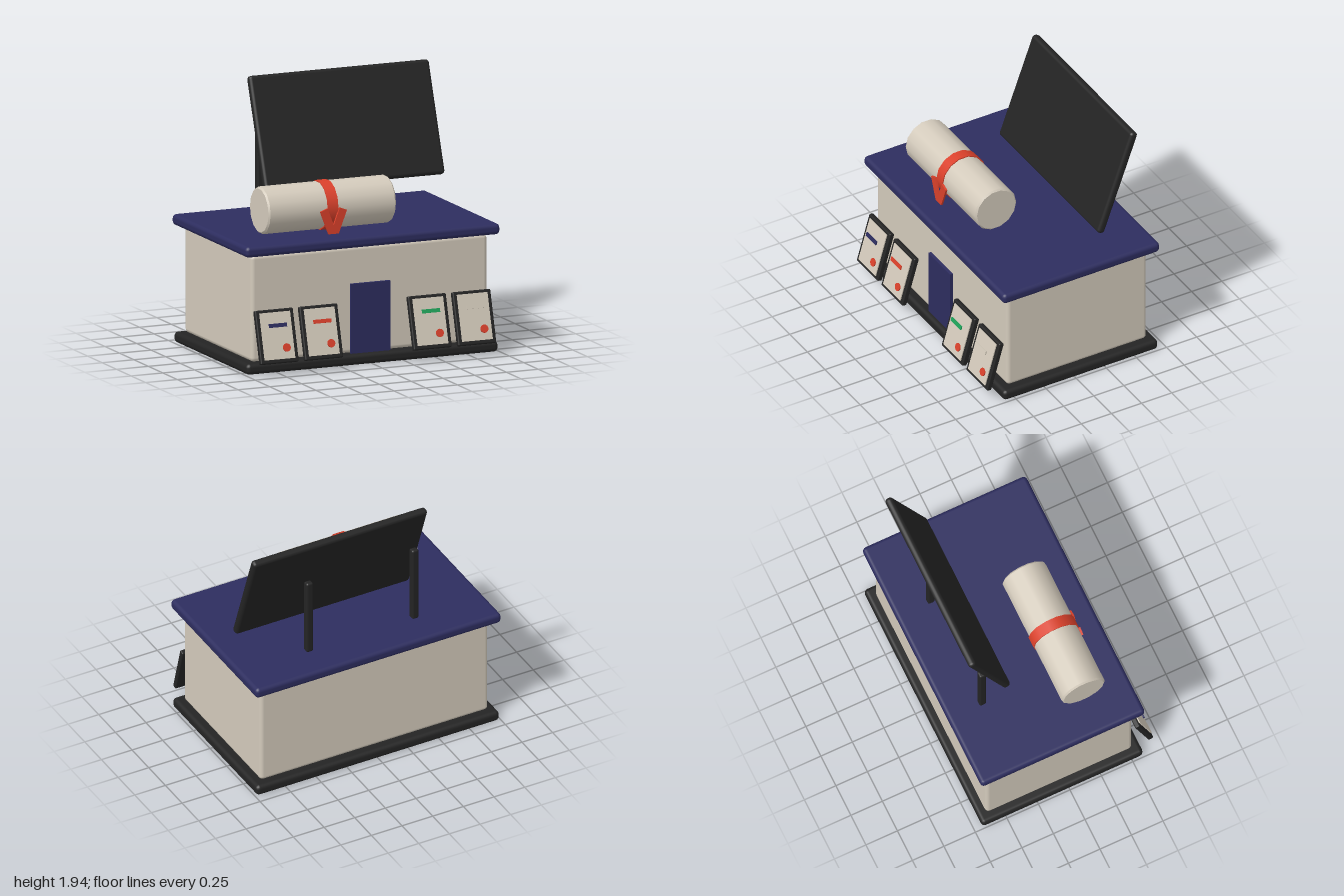
import * as THREE from 'three';
import { RoundedBoxGeometry } from 'three/addons/geometries/RoundedBoxGeometry.js';

const paint = (name, color) => {
  const m = new THREE.MeshStandardMaterial({ color });
  m.name = name;
  return m;
};

export function createModel() {
  const navy = paint('navy', 0x2d2d5f);
  const cream = paint('cream', 0xd4cbbc);
  const black = paint('black', 0x242424);
  const red = paint('red', 0xdb412b);
  const green = paint('green', 0x1fa35a);

  const model = new THREE.Group();
  model.name = 'kiosk';

  const add = (parent, name, geometry, material, x, y, z) => {
    const mesh = new THREE.Mesh(geometry, material);
    mesh.name = name;
    mesh.position.set(x, y, z);
    parent.add(mesh);
    return mesh;
  };
  const rounded = (w, h, d, r) => new RoundedBoxGeometry(w, h, d, 2, r);
  const box = (w, h, d) => new THREE.BoxGeometry(w, h, d);

  // Building
  add(model, 'base', rounded(1.98, 0.08, 1.28, 0.03), black, 0, 0.04, -0.05);
  add(model, 'body', rounded(1.86, 0.78, 1.16, 0.03), cream, 0, 0.47, -0.05);
  add(model, 'roof', rounded(2, 0.08, 1.3, 0.03), navy, 0, 0.9, -0.05);
  add(model, 'door', box(0.31, 0.51, 0.025), navy, 0, 0.335, 0.54);

  // Tilted board on two posts
  const board = add(model, 'board', rounded(1.42, 0.835, 0.06, 0.025), black, 0.23, 1.54, -0.385);
  board.rotation.x = THREE.MathUtils.degToRad(-20);
  for (const x of [-0.43, 0.43]) {
    add(model, 'boardPost', rounded(0.055, 0.6, 0.055, 0.015), black, x, 1.235, -0.428);
  }

  // Rolled scroll lying along x, with bevelled rims
  const scroll = new THREE.Group();
  scroll.name = 'scroll';
  scroll.position.set(-0.233, 1.12, 0.236);
  model.add(scroll);
  const profile = [
    [0, -0.502], [0.16, -0.502], [0.16, -0.502], [0.172, -0.49], [0.172, -0.49],
    [0.172, 0.49], [0.172, 0.49], [0.16, 0.502], [0.16, 0.502], [0, 0.502],
  ].map(([r, y]) => new THREE.Vector2(r, y));
  add(scroll, 'scrollRoll', new THREE.LatheGeometry(profile, 14).rotateZ(Math.PI / 2), cream, 0, 0, 0);
  add(scroll, 'ribbonBand', new THREE.CylinderGeometry(0.18, 0.18, 0.083, 14).rotateZ(Math.PI / 2), red, 0, 0, 0);
  for (const side of [-1, 1]) {
    const tail = add(scroll, 'ribbonTail', box(0.06, 0.2, 0.015), red, side * 0.04, -0.095, 0.18);
    tail.rotation.z = -side * THREE.MathUtils.degToRad(21);
  }

  // Leaning framed cards along the front
  const tilt = THREE.MathUtils.degToRad(-16);
  [[-0.78, navy], [-0.43, red], [0.425, green], [0.775, cream]].forEach(([x, stripe]) => {
    const card = new THREE.Group();
    card.name = 'card';
    card.position.set(x, 0.277, 0.625);
    card.rotation.x = tilt;
    model.add(card);
    add(card, 'cardFrame', rounded(0.3, 0.39, 0.04, 0.01), black, 0, 0, 0);
    add(card, 'cardFace', box(0.24, 0.34, 0.009), cream, 0, 0.003, 0.023);
    add(card, 'cardStripe', box(0.14, 0.028, 0.009), stripe, 0, 0.075, 0.056);
    add(card, 'cardButton', new THREE.CylinderGeometry(0.03, 0.03, 0.009, 14).rotateX(Math.PI / 2),
      red, 0.06, -0.088, 0.033);
  });

  return model;
}
